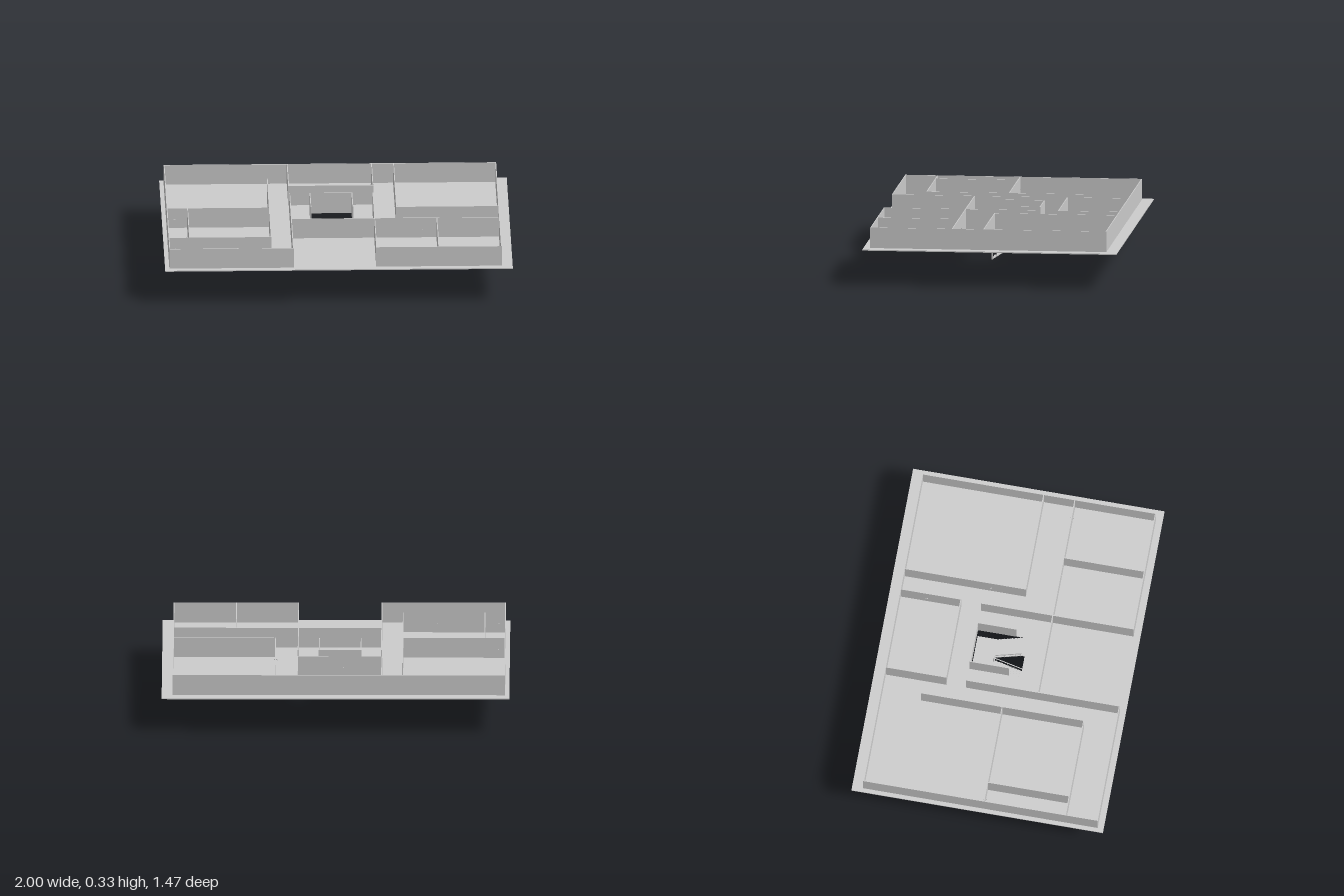
import * as THREE from 'three';

const FLOOR = 0.211, TOP = 0.33, LANDING = 0.106, T = 0.005;

export function createModel() {
  const model = new THREE.Group();
  model.name = 'storeyWithStairs';
  const grey = new THREE.MeshStandardMaterial({ color: 0xcccccc, flatShading: true });
  const sheet = new THREE.MeshStandardMaterial({ color: 0xcccccc, flatShading: true, side: THREE.DoubleSide });

  function add(parent, name, geometry, material = grey) {
    const mesh = new THREE.Mesh(geometry, material);
    mesh.name = name;
    parent.add(mesh);
    return mesh;
  }
  // box given by its limits on each axis
  function box(parent, name, x0, x1, y0, y1, z0, z1) {
    const mesh = add(parent, name, new THREE.BoxGeometry(x1 - x0, y1 - y0, z1 - z0));
    mesh.position.set((x0 + x1) / 2, (y0 + y1) / 2, (z0 + z1) / 2);
    return mesh;
  }

  // floor slab with the stairwell opening
  const plan = new THREE.Shape([[-1, -0.735], [1, -0.735], [1, 0.735], [-1, 0.735]]
    .map(p => new THREE.Vector2(...p)));
  plan.holes.push(new THREE.Path([[-0.145, -0.195], [-0.145, 0.1], [-0.015, 0.1], [-0.015, 0.085],
    [0.096, 0.085], [0.096, -0.195]].map(p => new THREE.Vector2(...p))));
  const slab = new THREE.ExtrudeGeometry(plan, { depth: 0.006, bevelEnabled: false });
  slab.rotateX(Math.PI / 2);
  add(model, 'floorSlab', slab).position.y = FLOOR;

  // walls running along x: [z, from x, to x]
  const alongX = [
    [-0.668, -0.973, 0.935], [0.698, -0.973, -0.26], [0.693, 0.217, 0.935],
    [-0.315, -0.265, 0.22], [0.04, 0.347, 0.935], [0.035, -0.973, -0.385],
    [0.512, -0.973, -0.385], [0.222, -0.262, 0.935], [-0.195, -0.145, 0.096],
  ];
  // walls running along z: [x, from z, to z]
  const alongZ = [
    [-0.973, -0.668, 0.698], [0.935, -0.668, 0.693], [-0.265, -0.668, -0.315],
    [0.22, -0.668, -0.315], [0.347, -0.668, 0.04], [-0.385, -0.435, 0.512],
    [-0.855, 0.035, 0.512], [-0.262, -0.195, 0.698], [0.217, -0.195, 0.693],
    [0.575, 0.222, 0.693], [-0.145, -0.195, 0.03], [0.096, -0.195, 0.03],
  ];
  const walls = new THREE.Group();
  walls.name = 'walls';
  model.add(walls);
  const h = T / 2;
  for (const [z, a, b] of alongX) box(walls, 'wall', a - h, b + h, FLOOR, TOP, z - h, z + h);
  for (const [x, a, b] of alongZ) box(walls, 'wall', x - h, x + h, FLOOR, TOP, a - h, b + h);

  // door handles passing through the walls: [x, z, wall runs along x]
  const handles = [[0.49, 0.222, true], [0.85, 0.222, true], [-0.935, 0.035, true],
    [-0.935, 0.512, true], [-0.58, 0.512, true], [-0.045, -0.315, true],
    [0.22, -0.51, false], [0.347, -0.16, false]];
  for (const [x, z, acrossZ] of handles) {
    const handle = new THREE.Group();
    handle.name = 'doorHandle';
    box(handle, 'spindle', -0.002, 0.002, -0.002, 0.002, -0.009, 0.009);
    for (const s of [-1, 1]) box(handle, 'lever', -0.002, 0.01, -0.002, 0.002, s * 0.009 - 0.001, s * 0.009 + 0.001);
    handle.position.set(x, FLOOR + 0.05, z);
    if (!acrossZ) handle.rotation.y = Math.PI / 2;
    model.add(handle);
  }

  // strip swept across x through a list of [z, y] points
  function ribbon(x0, x1, points) {
    const pos = [], index = [];
    points.forEach(([z, y], i) => {
      pos.push(x0, y, z, x1, y, z);
      if (i) {
        const k = 2 * i;
        index.push(k - 2, k - 1, k, k - 1, k + 1, k);
      }
    });
    const g = new THREE.BufferGeometry();
    g.setAttribute('position', new THREE.Float32BufferAttribute(pos, 3));
    g.setIndex(index);
    g.computeVertexNormals();
    return g;
  }

  // one flight: steps, sloping underside, handrail with balusters
  function flight(name, x0, x1, zA, yA, zB, yB, railX) {
    const group = new THREE.Group();
    group.name = name;
    const n = 10, dz = (zB - zA) / n, dy = (yB - yA) / n;
    const steps = [[zA, yA]];
    for (let i = 0; i < n; i++) {
      steps.push([zA + i * dz, yA + (i + 1) * dy], [zA + (i + 1) * dz, yA + (i + 1) * dy]);
    }
    add(group, 'steps', ribbon(x0, x1, steps), sheet);
    add(group, 'underside', ribbon(x0, x1, [[zA, yA], [zB, yB - 0.002]]), sheet);
    const rise = 0.038;
    const rail = box(group, 'handrail', -0.002, 0.002, -0.0015, 0.0015, 0, Math.hypot(zB - zA, yB - yA));
    rail.position.set(railX, (yA + yB) / 2 + rise, (zA + zB) / 2);
    rail.rotation.x = -Math.atan2(yB - yA, zB - zA);
    for (let i = 1; i < n; i += 2) {
      const z = zA + (i + 0.5) * dz, y = yA + (i + 0.5) * dy;
      box(group, 'baluster', railX - 0.001, railX + 0.001, y, y + rise, z - 0.001, z + 0.001);
    }
    model.add(group);
  }
  flight('lowerFlight', -0.145, -0.035, 0.092, 0, -0.07, LANDING, -0.034);
  flight('upperFlight', -0.016, 0.096, -0.07, LANDING, 0.085, FLOOR, -0.017);

  // half landing and the outward face behind it
  box(model, 'landing', -0.145, 0.096, LANDING - 0.003, LANDING, -0.195, -0.07);
  const back = add(model, 'landingBackWall', new THREE.PlaneGeometry(0.13, FLOOR - LANDING));
  back.rotation.y = Math.PI;
  back.position.set(-0.08, (FLOOR + LANDING) / 2, -0.19);

  // newel posts at the foot and at the turn
  box(model, 'footNewel', -0.037, -0.031, 0, 0.045, 0.091, 0.098);
  box(model, 'turnNewel', -0.041, -0.012, LANDING, 0.156, -0.079, -0.073);
  return model;
}
